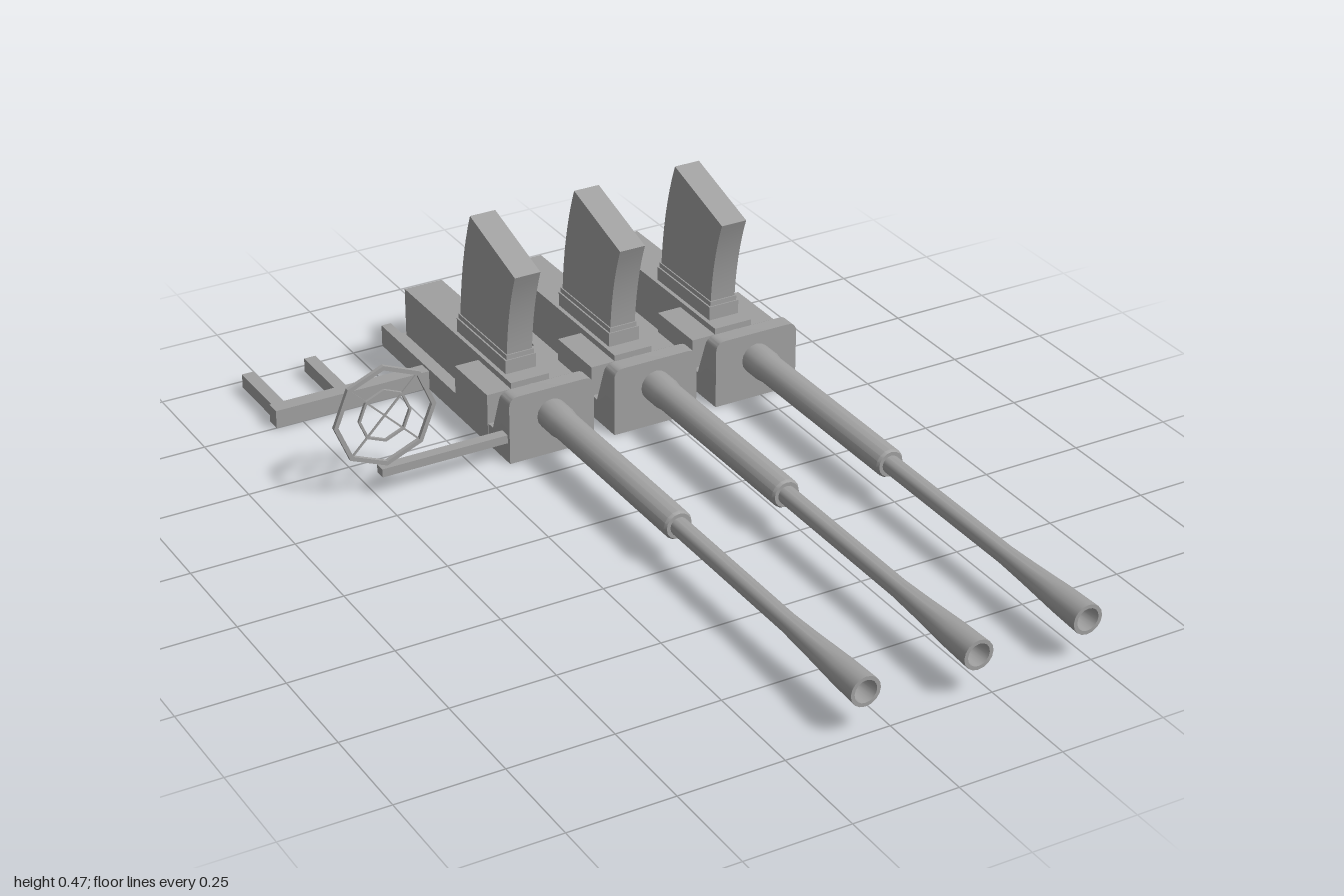
import * as THREE from 'three';
import { toCreasedNormals } from 'three/addons/utils/BufferGeometryUtils.js';

const AXIS_Y = 0.103; // barrel height

export function createModel() {
  const model = new THREE.Group();
  model.name = 'tripleGunMount';
  const metal = new THREE.MeshStandardMaterial({ color: 0xa0a0a0 });
  metal.name = 'grey metal';

  const add = (parent, name, geometry) => {
    const mesh = new THREE.Mesh(geometry, metal);
    mesh.name = name;
    parent.add(mesh);
    return mesh;
  };
  // Box given by its limits on each axis
  const box = (parent, name, x0, x1, y0, y1, z0, z1) => {
    const g = new THREE.BoxGeometry(x1 - x0, y1 - y0, z1 - z0);
    g.translate((x0 + x1) / 2, (y0 + y1) / 2, (z0 + z1) / 2);
    return add(parent, name, g);
  };

  // Front plate: rounded top corners, back face sloping rearward to the foot
  const plateShape = new THREE.Shape();
  plateShape.moveTo(-0.11, 0);
  plateShape.lineTo(0.11, 0);
  plateShape.lineTo(0.11, 0.145);
  plateShape.quadraticCurveTo(0.11, 0.17, 0.085, 0.17);
  plateShape.lineTo(-0.085, 0.17);
  plateShape.quadraticCurveTo(-0.11, 0.17, -0.11, 0.145);
  let plate = new THREE.ExtrudeGeometry(plateShape, { depth: 0.04, bevelEnabled: false, curveSegments: 5 });
  plate.translate(0, 0, -0.37);
  const pos = plate.attributes.position;
  for (let i = 0; i < pos.count; i++) {
    if (pos.getZ(i) < -0.35) pos.setZ(i, -0.37 - (0.17 - pos.getY(i)) * 0.38);
  }
  plate = toCreasedNormals(plate, 0.5);

  // Barrel with sleeve, flared muzzle and open bore: [radius, z]
  const barrelProfile = [
    [0, -0.435], [0.032, -0.43], [0.038, -0.4], [0.038, -0.28], [0.035, -0.26],
    [0.035, 0.245], [0.031, 0.252], [0.022, 0.252], [0.022, 0.7],
    [0.026, 0.79], [0.033, 0.91], [0.036, 1], [0.027, 1], [0.019, 0.88], [0, 0.88],
  ].map(([r, z]) => new THREE.Vector2(r, z));
  let barrel = new THREE.LatheGeometry(barrelProfile, 16);
  barrel.rotateX(Math.PI / 2);
  barrel = toCreasedNormals(barrel, 0.6);
  barrel.translate(0, AXIS_Y, 0);

  // Curved magazine, drawn from the side and extruded across
  const magShape = new THREE.Shape();
  magShape.moveTo(0.487, 0.18);
  magShape.lineTo(0.722, 0.18);
  magShape.quadraticCurveTo(0.712, 0.34, 0.658, 0.475);
  magShape.lineTo(0.438, 0.41);
  magShape.quadraticCurveTo(0.479, 0.305, 0.487, 0.18);
  let magazine = new THREE.ExtrudeGeometry(magShape, { depth: 0.066, bevelEnabled: false, curveSegments: 8 });
  magazine.translate(0, 0, -0.033);
  magazine.rotateY(Math.PI / 2);
  magazine = toCreasedNormals(magazine, 0.4);

  // Three identical guns side by side
  [-0.062, 0.212, 0.485].forEach((x, i) => {
    const gun = new THREE.Group();
    gun.name = `gun${i + 1}`;
    gun.position.x = x;
    add(gun, 'frontPlate', plate);
    add(gun, 'barrel', barrel);
    add(gun, 'magazine', magazine);
    box(gun, 'magazineCollar', -0.04, 0.04, 0.14, 0.18, -0.728, -0.48);
    box(gun, 'magazineLip', -0.036, 0.036, 0.18, 0.192, -0.726, -0.483);
    box(gun, 'receiver', -0.05, 0.05, 0.01, 0.145, -0.988, -0.436);
    box(gun, 'cradleBlock', -0.112, 0.112, 0.025, 0.13, -0.6, -0.436);
    box(gun, 'cradleBase', -0.11, 0.11, 0, 0.055, -0.6, -0.335);
    box(gun, 'trayFloor', -0.11, 0.11, 0, 0.02, -1, -0.6);
    for (const s of [-1, 1]) {
      const rail = box(gun, 'trayRail', -0.0125, 0.0125, 0, 0.055, -1, -0.6);
      rail.position.x = s * 0.0975;
    }
    model.add(gun);
  });

  // Rear shoulder bracket with two prongs
  const bracket = new THREE.Group();
  bracket.name = 'rearBracket';
  box(bracket, 'bracketArm', -0.57, -0.165, 0.004, 0.049, -0.78, -0.743);
  box(bracket, 'outerProng', -0.562, -0.532, 0.01, 0.045, -0.955, -0.775);
  box(bracket, 'innerProng', -0.4, -0.37, 0.01, 0.045, -0.955, -0.775);
  model.add(bracket);

  // Ring sight on its arm
  box(model, 'sightArm', -0.49, -0.165, 0.05, 0.071, -0.367, -0.34);
  const sight = new THREE.Group();
  sight.name = 'ringSight';
  sight.position.set(-0.472, 0.198, -0.355);
  const octagon = (target, r) => {
    const pts = [];
    for (let i = 0; i < 8; i++) {
      const a = (i * Math.PI) / 4;
      pts.push(new THREE.Vector2(r * Math.cos(a), r * Math.sin(a)));
    }
    return target.setFromPoints(pts);
  };
  const ring = (name, outer, inner, depth) => {
    const shape = octagon(new THREE.Shape(), outer);
    shape.holes.push(octagon(new THREE.Path(), inner));
    const g = new THREE.ExtrudeGeometry(shape, { depth, bevelEnabled: false });
    g.translate(0, 0, -depth / 2);
    add(sight, name, g);
  };
  ring('outerRing', 0.127, 0.116, 0.01);
  ring('innerRing', 0.066, 0.06, 0.007);
  for (const s of [-1, 1]) {
    const wire = add(sight, 'crossWire', new THREE.BoxGeometry(0.24, 0.004, 0.004));
    wire.rotation.z = (s * Math.PI) / 4;
  }
  model.add(sight);

  return model;
}
